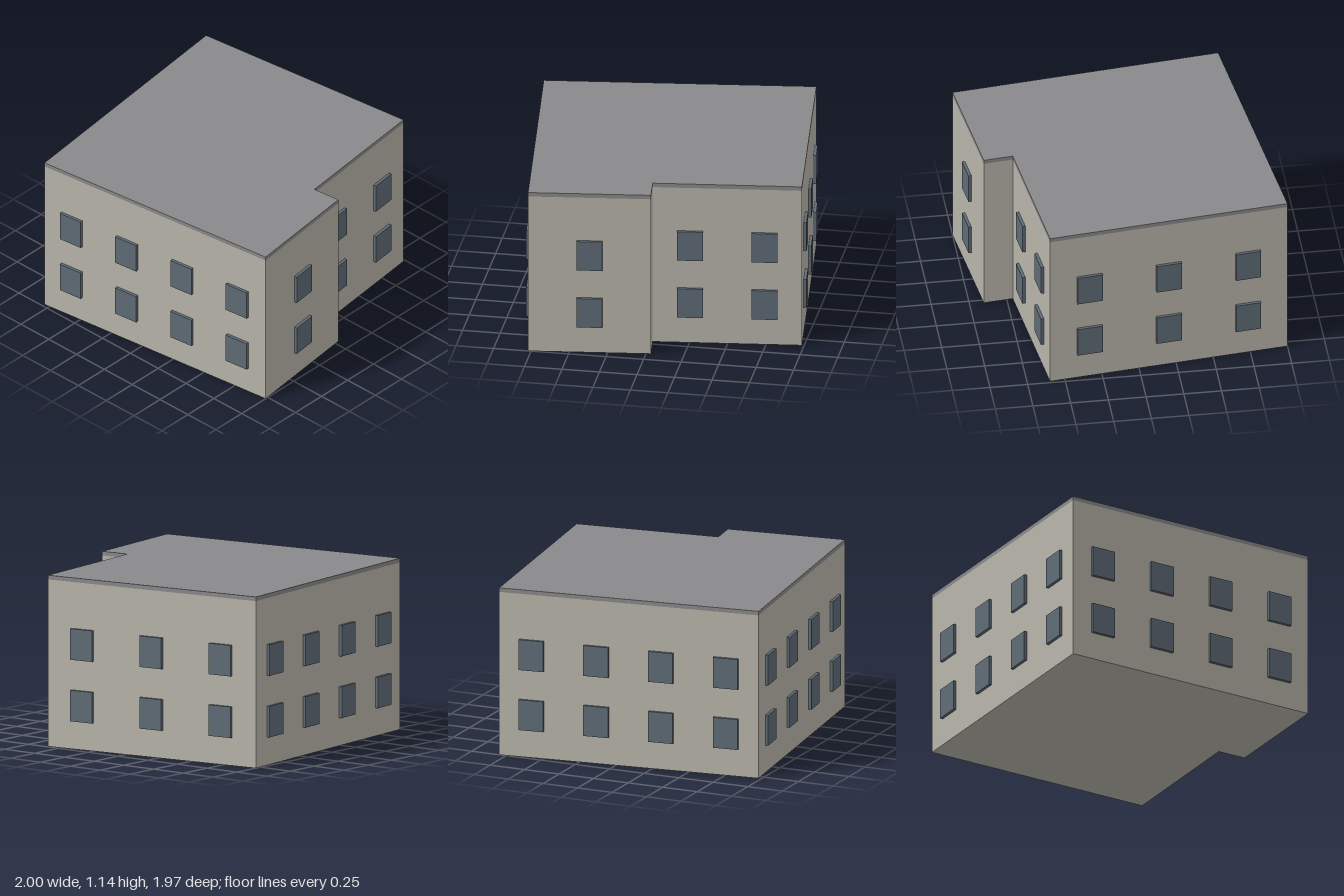
import * as THREE from 'three';

// Footprint corners as [x, z], with the window count of the wall running to the next corner
const FOOTPRINT = [
  { x: -0.79, z: 0.98, windows: 4 },   // front wall
  { x: 1.0, z: 0.77, windows: 1 },     // left wall, front part
  { x: 0.905, z: -0.032, windows: 0 }, // step
  { x: 0.71, z: -0.01, windows: 2 },   // left wall, set back
  { x: 0.6, z: -0.985, windows: 3 },   // back wall
  { x: -1.0, z: -0.8, windows: 4 },    // right wall
];
const ROOF_Y = 1.112, TOP_Y = 1.14;
const WINDOW = { width: 0.17, height: 0.207, depth: 0.02 };
const FLOORS = [0.29, 0.7];

// Upright prism over the footprint
function prism(y0, y1) {
  const shape = new THREE.Shape(FOOTPRINT.map(p => new THREE.Vector2(p.x, -p.z)));
  const geo = new THREE.ExtrudeGeometry(shape, { depth: y1 - y0, bevelEnabled: false });
  return geo.rotateX(-Math.PI / 2).translate(0, y0, 0);
}

export function createModel() {
  const wallMat = new THREE.MeshStandardMaterial({ name: 'wall plaster', color: 0xb8b4aa });
  const roofMat = new THREE.MeshStandardMaterial({ name: 'roof grey', color: 0x89898b });
  const glassMat = new THREE.MeshStandardMaterial({ name: 'window blue grey', color: 0x5f6b76 });

  const model = new THREE.Group();
  model.name = 'building';
  const add = (name, geo, mat, parent = model) => {
    const mesh = new THREE.Mesh(geo, mat);
    mesh.name = name;
    parent.add(mesh);
    return mesh;
  };

  add('walls', prism(0, ROOF_Y), wallMat);
  add('roof', prism(ROOF_Y, TOP_Y), roofMat);

  // Windows evenly spaced along each wall, on both floors
  const windows = new THREE.Group();
  windows.name = 'windows';
  model.add(windows);
  const pane = new THREE.BoxGeometry(WINDOW.width, WINDOW.height, WINDOW.depth)
    .translate(0, 0, WINDOW.depth / 2);
  FOOTPRINT.forEach((a, i) => {
    const b = FOOTPRINT[(i + 1) % FOOTPRINT.length];
    const angle = Math.atan2(-(b.z - a.z), b.x - a.x);
    for (let k = 0; k < a.windows; k++) {
      const t = (k + 0.5) / a.windows;
      for (const y of FLOORS) {
        const mesh = add('window', pane, glassMat, windows);
        mesh.position.set(a.x + (b.x - a.x) * t, y, a.z + (b.z - a.z) * t);
        mesh.rotation.y = angle;
      }
    }
  });
  return model;
}
